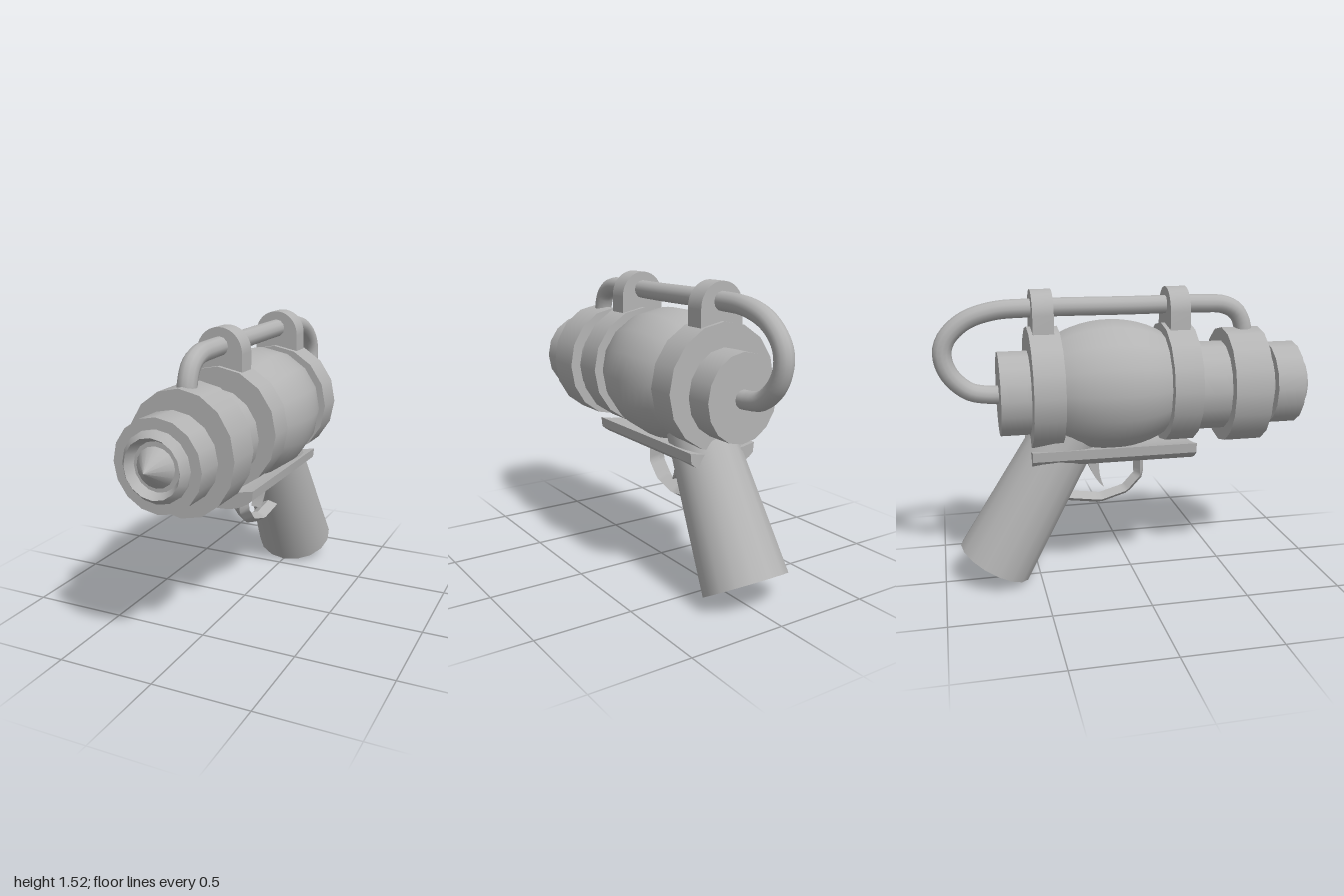
import * as THREE from 'three';
import { toCreasedNormals } from 'three/addons/utils/BufferGeometryUtils.js';

const SIDES = 16;

export function createModel() {
  const root = new THREE.Group();
  const grey = new THREE.MeshStandardMaterial({ color: 0xb4b4b4 });

  const add = (name, geo) => {
    const mesh = new THREE.Mesh(geo, grey);
    mesh.name = name;
    root.add(mesh);
    return mesh;
  };

  // Elliptical drum lying along z, from zBack to zFront
  const drum = (name, rx, ry, y, zBack, zFront) => {
    const geo = new THREE.CylinderGeometry(1, 1, zFront - zBack, SIDES);
    geo.rotateX(Math.PI / 2).scale(rx, ry, 1).translate(0, y, (zFront + zBack) / 2);
    return add(name, geo);
  };

  // Turned part along z, profile given as [radius, z]
  const turned = (profile) =>
    new THREE.LatheGeometry(profile.map(([r, z]) => new THREE.Vector2(r, z)), SIDES).rotateX(Math.PI / 2);

  // Path in the middle plane, given as [z, y]
  const midPath = (pts) => pts.map(([z, y]) => new THREE.Vector3(0, y, z));

  // Barrel and body drums
  drum('muzzleRing', 0.22, 0.22, 1, 0.74, 0.89);
  drum('muzzleNeck', 0.167, 0.188, 1, 0.68, 0.75);
  drum('frontCollar', 0.275, 0.305, 1, 0.49, 0.69);
  drum('barrel', 0.22, 0.235, 1, 0.3, 0.5);
  drum('frontBodyRing', 0.308, 0.31, 1.03, 0.16, 0.31);
  drum('rearBodyRing', 0.306, 0.31, 1.03, -0.535, -0.38);
  drum('rearCap', 0.2, 0.217, 1.003, -0.685, -0.5);

  // Bulging chamber between the rings
  const chamber = [];
  for (let i = 0; i <= 12; i++) {
    const z = -0.3 + i * 0.05;
    chamber.push([Math.sqrt(1 - (z / 0.45) ** 2), z]);
  }
  add('chamber', turned(chamber).scale(0.33, 0.336, 1).translate(0, 1.03, -0.115));

  // Hollow nozzle and pointed emitter
  const nozzle = turned([[0.168, 0.88], [0.168, 0.9], [0.14, 0.935], [0.113, 0.885], [0, 0.885]]);
  add('nozzle', toCreasedNormals(nozzle, 0.6).translate(0, 1, 0));
  add('emitterTip', turned([[0.08, 0.86], [0.095, 0.9], [0, 1]]).translate(0, 1, 0));

  // Pipe over the top, from the collar to the rear cap
  const pipe = new THREE.CatmullRomCurve3(midPath([
    [0.607, 1.25], [0.605, 1.31], [0.57, 1.385], [0.5, 1.424], [0.38, 1.433], [0, 1.433], [-0.5, 1.433],
    [-0.7, 1.422], [-0.84, 1.375], [-0.93, 1.29], [-0.952, 1.21], [-0.92, 1.11], [-0.83, 1.025],
    [-0.74, 1.003], [-0.66, 1]]));
  add('pipe', new THREE.TubeGeometry(pipe, 80, 0.047, 12));

  // Arched clips holding the pipe
  const arch = new THREE.Shape();
  arch.moveTo(-0.12, 1.3);
  arch.lineTo(0.12, 1.3);
  arch.lineTo(0.12, 1.4);
  arch.absarc(0, 1.405, 0.12, 0, Math.PI, false);
  arch.closePath();
  for (const [name, z] of [['frontPipeClip', 0.181], ['rearPipeClip', -0.514]]) {
    const geo = new THREE.ExtrudeGeometry(arch, { depth: 0.105, bevelEnabled: false, curveSegments: 10 });
    add(name, toCreasedNormals(geo, 0.6).translate(0, 0, z));
  }

  // Curved cradle under the body
  const cradle = new THREE.Shape();
  cradle.moveTo(-0.19, 0.735);
  cradle.lineTo(-0.185, 0.685);
  cradle.quadraticCurveTo(-0.12, 0.62, 0, 0.62);
  cradle.quadraticCurveTo(0.12, 0.62, 0.185, 0.685);
  cradle.lineTo(0.19, 0.735);
  cradle.quadraticCurveTo(0, 0.69, -0.19, 0.735);
  const cradleGeo = new THREE.ExtrudeGeometry(cradle, { depth: 0.85, bevelEnabled: false, curveSegments: 6 });
  add('cradle', toCreasedNormals(cradleGeo, 0.6).translate(0, 0, -0.54));

  // Raked grip, flaring to an oval foot
  const grip = new THREE.CylinderGeometry(0.162, 0.222, 0.81, SIDES);
  const pos = grip.attributes.position;
  for (let i = 0; i < pos.count; i++) {
    pos.setZ(i, pos.getZ(i) * THREE.MathUtils.lerp(0.91, 1.05, pos.getY(i) / 0.81 + 0.5));
  }
  grip.rotateX(Math.PI / 6).translate(0, 0.452, -0.535);
  add('grip', grip);

  // Trigger guard: a diamond-section bar bent at corners
  const guardPath = new THREE.CatmullRomCurve3(midPath([
    [0.042, 0.68], [0.042, 0.53], [-0.03, 0.452], [-0.17, 0.411], [-0.38, 0.44]]), false, 'catmullrom', 0);
  const guard = new THREE.TubeGeometry(guardPath, 28, 0.028, 4).scale(1.65, 1, 1);
  add('triggerGuard', toCreasedNormals(guard, 0.7));

  // Curved trigger
  const blade = new THREE.Shape();
  blade.moveTo(-0.17, 0.65);
  blade.quadraticCurveTo(-0.19, 0.56, -0.15, 0.475);
  blade.quadraticCurveTo(-0.22, 0.54, -0.245, 0.65);
  blade.closePath();
  const trigger = new THREE.ExtrudeGeometry(blade, { depth: 0.06, bevelEnabled: false, curveSegments: 5 });
  add('trigger', toCreasedNormals(trigger.translate(0, 0, -0.03).rotateY(-Math.PI / 2), 0.6));

  return root;
}
